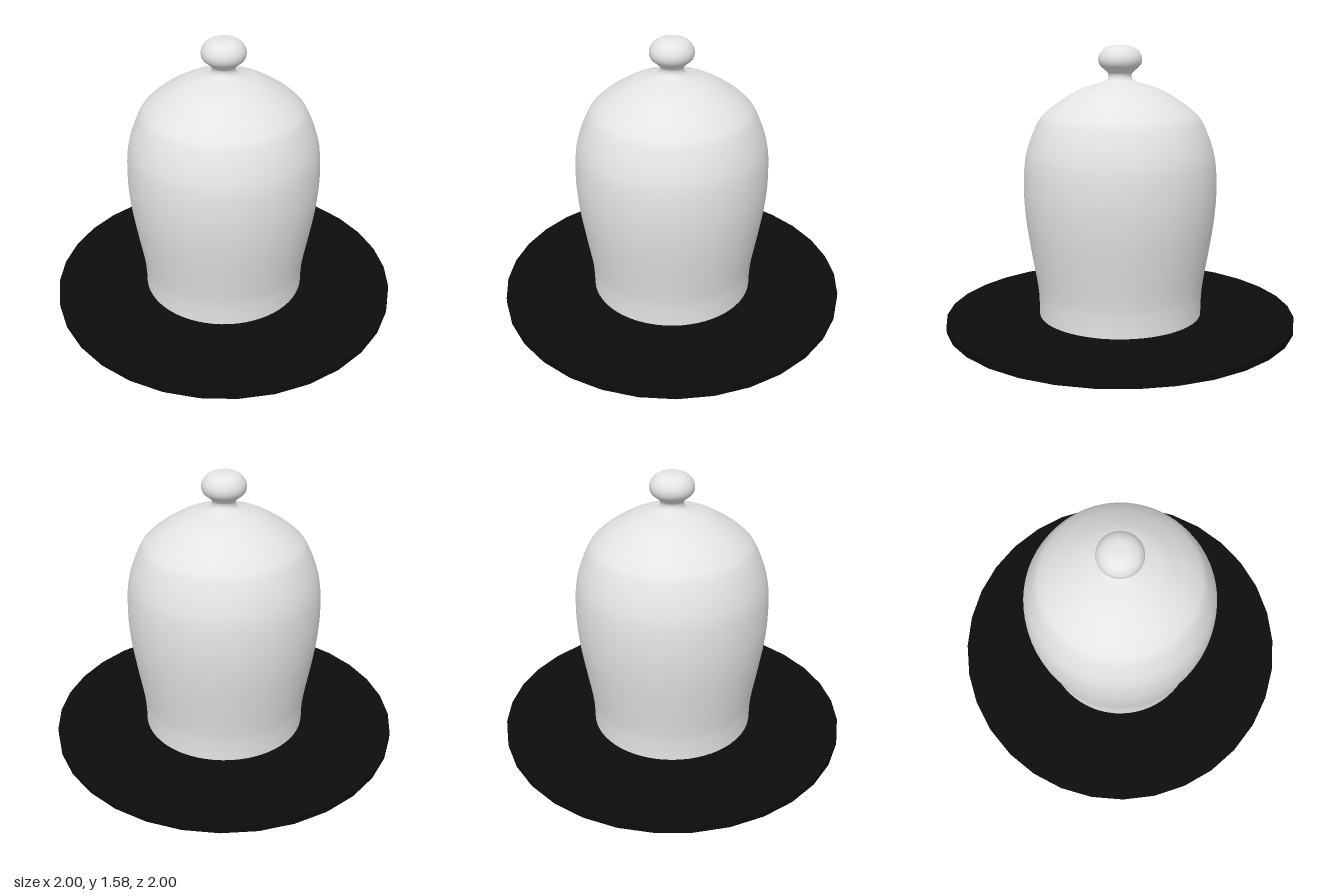
import * as THREE from 'three';

export function createModel() {
  const group = new THREE.Group();
  const black = new THREE.MeshStandardMaterial({ color: 0x0d0d0d });
  black.name = 'black base';
  const pale = new THREE.MeshStandardMaterial({ color: 0xe4e4e4, side: THREE.DoubleSide });
  pale.name = 'pale grey dome';

  // Smoothly turned surface through a few radius/height points
  const turned = (name, points, divisions) => {
    const curve = new THREE.SplineCurve(points.map(([r, y]) => new THREE.Vector2(r, y)));
    const profile = curve.getPoints(divisions);
    profile.forEach((p) => { p.x = Math.max(p.x, 0); });
    const mesh = new THREE.Mesh(new THREE.LatheGeometry(profile, 64), pale);
    mesh.name = name;
    group.add(mesh);
  };

  // Flat round base plate
  const plate = new THREE.Mesh(new THREE.CylinderGeometry(1, 1, 0.04, 32), black);
  plate.name = 'basePlate';
  plate.position.y = 0.02;
  group.add(plate);

  // Bell-shaped cover, up to the narrow neck
  turned('bellCover', [
    [0.468, 0.04], [0.469, 0.12], [0.477, 0.22], [0.51, 0.42], [0.536, 0.6],
    [0.546, 0.78], [0.53, 0.97], [0.467, 1.14], [0.41, 1.21], [0.325, 1.274],
    [0.22, 1.333], [0.11, 1.367], [0.075, 1.382], [0.064, 1.4],
  ], 60);

  // Rounded knob with flared stem
  turned('knob', [
    [0.064, 1.4], [0.066, 1.418], [0.085, 1.438], [0.112, 1.462], [0.122, 1.49],
    [0.117, 1.52], [0.096, 1.55], [0.06, 1.57], [0.025, 1.575], [0, 1.575],
  ], 40);

  return group;
}
